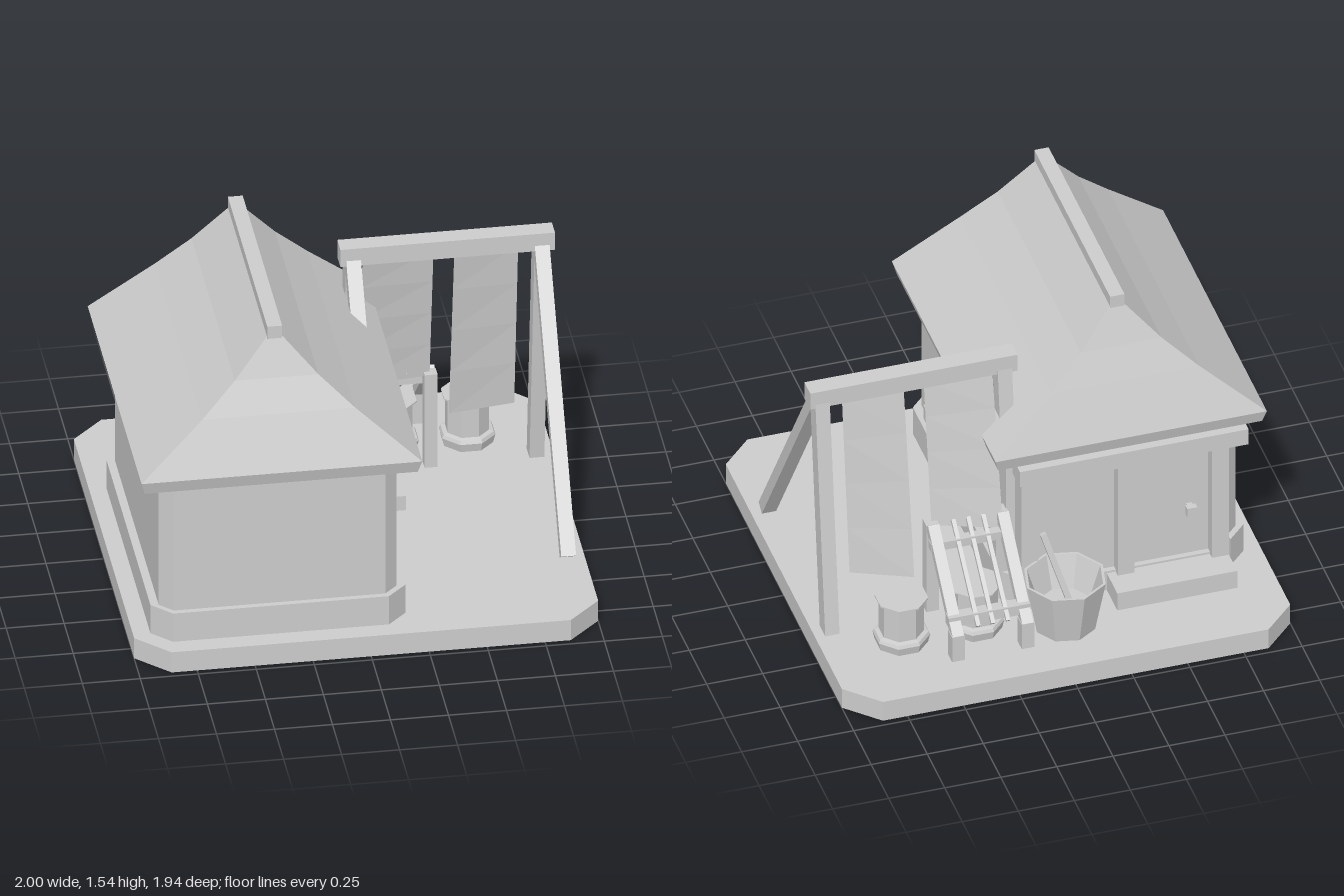
import * as THREE from 'three';

export function createModel() {
  const model = new THREE.Group();
  const grey = new THREE.MeshStandardMaterial({ color: 0xcccccc, side: THREE.DoubleSide });
  grey.name = 'plain grey';
  grey.flatShading = true;

  const add = (name, geometry, parent = model) => {
    const mesh = new THREE.Mesh(geometry, grey);
    mesh.name = name;
    parent.add(mesh);
    return mesh;
  };
  const group = (name) => {
    const g = new THREE.Group();
    g.name = name;
    model.add(g);
    return g;
  };
  // Box given by its limits on each axis
  const box = (name, x0, x1, y0, y1, z0, z1, parent) => {
    const g = new THREE.BoxGeometry(x1 - x0, y1 - y0, z1 - z0);
    g.translate((x0 + x1) / 2, (y0 + y1) / 2, (z0 + z1) / 2);
    return add(name, g, parent);
  };
  // Straight beam between two points
  const bar = (name, from, to, w, d, parent) => {
    const a = new THREE.Vector3(...from), b = new THREE.Vector3(...to);
    const mesh = add(name, new THREE.BoxGeometry(w, a.distanceTo(b), d), parent);
    mesh.position.copy(a).add(b).multiplyScalar(0.5);
    mesh.quaternion.setFromUnitVectors(new THREE.Vector3(0, 1, 0), b.sub(a).normalize());
    return mesh;
  };
  // Prism over a floor plan of [x, z] points
  const slab = (name, plan, y0, y1, parent) => {
    const shape = new THREE.Shape(plan.map(([x, z]) => new THREE.Vector2(x, -z)));
    const g = new THREE.ExtrudeGeometry(shape, { depth: y1 - y0, bevelEnabled: false });
    g.rotateX(-Math.PI / 2).translate(0, y0, 0);
    return add(name, g, parent);
  };
  // Skin over stacked convex outlines, closed at the top and optionally below
  const loft = (name, rings, closeBottom, parent) => {
    const p = [], n = rings[0].length;
    const tri = (...v) => v.forEach((q) => p.push(...q));
    for (let r = 0; r + 1 < rings.length; r++) {
      for (let i = 0; i < n; i++) {
        const j = (i + 1) % n, lo = rings[r], hi = rings[r + 1];
        tri(lo[i], lo[j], hi[j]);
        tri(lo[i], hi[j], hi[i]);
      }
    }
    const top = rings[rings.length - 1], bottom = rings[0];
    for (let i = 1; i + 1 < n; i++) {
      tri(top[0], top[i], top[i + 1]);
      if (closeBottom) tri(bottom[0], bottom[i + 1], bottom[i]);
    }
    const g = new THREE.BufferGeometry();
    g.setAttribute('position', new THREE.Float32BufferAttribute(p, 3));
    g.computeVertexNormals();
    return add(name, g, parent);
  };
  const chamfered = (x0, x1, z0, z1, c) => [
    [x0 + c, z1], [x1 - c, z1], [x1, z1 - c], [x1, z0 + c],
    [x1 - c, z0], [x0 + c, z0], [x0, z0 + c], [x0, z1 - c]];

  // Hollow ground plate
  const ground = chamfered(-1, 1, -0.97, 0.97, 0.14);
  loft('groundPlate', [0, 0.1].map((y) => ground.map(([x, z]) => [x, y, z])), false);

  // Plinth, interrupted at the doorway
  const house = group('house');
  const plinth = chamfered(-0.925, 0.175, -0.49, 0.885, 0.085);
  plinth.splice(5, 0, [0.08, -0.44], [-0.83, -0.44]);
  slab('plinth', plinth, 0.08, 0.24, house);

  // Walls in three bands; the middle one is notched for the window
  const walls = chamfered(-0.89, 0.135, -0.46, 0.86, 0.057);
  const notched = [...walls];
  notched.splice(3, 0, [0.135, 0.45], [0.08, 0.45], [0.08, -0.22], [0.135, -0.22]);
  slab('lowerWall', walls, 0.09, 0.42, house);
  slab('windowWall', notched, 0.42, 0.78, house);
  slab('upperWall', walls, 0.78, 0.88, house);

  // Window frame, mullion and sill shelf
  const win = group('window');
  box('frameTop', 0.08, 0.125, 0.74, 0.78, -0.22, 0.45, win);
  box('frameSide', 0.08, 0.125, 0.42, 0.74, 0.41, 0.45, win);
  box('frameSide', 0.08, 0.125, 0.42, 0.74, -0.22, -0.18, win);
  box('mullion', 0.155, 0.19, 0.48, 0.755, 0.11, 0.155, win);
  box('sillShelf', 0.08, 0.225, 0.42, 0.49, -0.22, 0.49, win);

  // Hipped roof with a slight concave sweep
  const roofRing = ([hw, y, z0, z1]) => [
    [-0.38 - hw, y, z1], [-0.38 + hw, y, z1], [-0.38 + hw, y, z0], [-0.38 - hw, y, z0]];
  loft('roof', [
    [0.588, 0.87, -0.528, 0.922], [0.605, 0.93, -0.545, 0.94], [0.33, 1.17, -0.455, 0.85],
    [0.18, 1.315, -0.4, 0.79], [0.03, 1.49, -0.34, 0.73],
  ].map(roofRing), true, house);
  box('ridgeCap', -0.412, -0.348, 1.48, 1.54, -0.345, 0.74, house);

  // Doorway on the back
  const entrance = group('entrance');
  box('lintel', -0.9, 0.12, 0.78, 0.86, -0.555, -0.45, entrance);
  for (const x of [-0.82, -0.4, 0.03]) box('doorPost', x, x + 0.075, 0.09, 0.79, -0.53, -0.44, entrance);
  box('door', -0.745, -0.4, 0.18, 0.78, -0.475, -0.45, entrance);
  box('sidePanel', -0.325, 0.03, 0.18, 0.78, -0.475, -0.45, entrance);
  box('threshold', -0.745, 0.03, 0.09, 0.2, -0.5, -0.44, entrance);
  box('doorKnobStem', -0.67, -0.645, 0.44, 0.465, -0.5, -0.47, entrance);
  box('doorKnob', -0.68, -0.635, 0.43, 0.475, -0.53, -0.5, entrance);
  box('step', -0.82, -0.285, 0.05, 0.19, -0.65, -0.45, entrance);

  // Drying frame: beam, legs and struts; the inner pair ends in the roof
  const frame = group('dryingFrame');
  box('beam', 0.055, 0.98, 1.215, 1.3, -0.315, -0.23, frame);
  bar('rearLeg', [0.925, 1.24, -0.275], [0.925, 0.09, -0.417], 0.064, 0.078, frame);
  bar('frontStrut', [0.925, 1.24, -0.262], [0.925, 0.115, 0.475], 0.064, 0.055, frame);
  bar('rearLeg', [0.112, 1.24, -0.275], [0.112, 0.8, -0.33], 0.064, 0.078, frame);
  bar('frontStrut', [0.112, 1.24, -0.262], [0.112, 0.92, -0.052], 0.064, 0.055, frame);

  // Hanging cloths, slightly twisted
  for (const [x0, x1, yl, yr] of [[0.16, 0.465, 0.49, 0.54], [0.555, 0.83, 0.315, 0.37]]) {
    const g = new THREE.PlaneGeometry(1, 1, 1, 4);
    const pos = g.attributes.position;
    for (let i = 0; i < pos.count; i++) {
      const u = pos.getX(i) + 0.5, drop = 0.5 - pos.getY(i);
      const low = THREE.MathUtils.lerp(yl, yr, u);
      pos.setXYZ(i, THREE.MathUtils.lerp(x0, x1, u), THREE.MathUtils.lerp(1.23, low, drop),
        -0.285 - drop * THREE.MathUtils.lerp(0.155, 0.11, u));
    }
    g.computeVertexNormals();
    add('cloth', g, frame);
  }

  // Sloping slatted rack on four legs
  const rack = group('slattedRack');
  for (const x of [0.157, 0.467]) {
    bar('rail', [x, 0.555, -0.42], [x, 0.215, -0.775], 0.05, 0.04, rack);
    box('rearLeg', x - 0.028, x + 0.028, 0.09, 0.23, -0.79, -0.73, rack);
    box('frontLeg', x - 0.028, x + 0.028, 0.09, 0.56, -0.42, -0.365, rack);
  }
  box('lowerCrossbar', 0.13, 0.495, 0.245, 0.295, -0.74, -0.69, rack);
  box('upperCrossbar', 0.13, 0.495, 0.47, 0.51, -0.49, -0.45, rack);
  for (const x of [0.24, 0.307, 0.373]) {
    bar('slat', [x, 0.56, -0.41], [x, 0.25, -0.77], 0.018, 0.018, rack);
  }

  // Octagonal stools with flared feet and thin tops
  const lathe = (name, profile, turn) => {
    const g = new THREE.LatheGeometry(profile.map(([r, y]) => new THREE.Vector2(r, y)), 8);
    return add(name, g.rotateY(turn).toNonIndexed());
  };
  for (const x of [0.325, 0.655]) {
    lathe('bucket', [[0, 0.09], [0.112, 0.09], [0.124, 0.14], [0.117, 0.155], [0.097, 0.16],
      [0.097, 0.32], [0.115, 0.328], [0.115, 0.335], [0, 0.335]], Math.PI / 8)
      .position.set(x, 0, -0.575);
  }

  // Open tub with a stirring stick
  lathe('tub', [[0, 0.09], [0.133, 0.09], [0.182, 0.35], [0.17, 0.35], [0.12, 0.2], [0, 0.2]], 0.18)
    .position.set(-0.045, 0, -0.67);
  bar('stirringStick', [-0.07, 0.2, -0.665], [0.03, 0.54, -0.595], 0.026, 0.026);

  return model;
}
